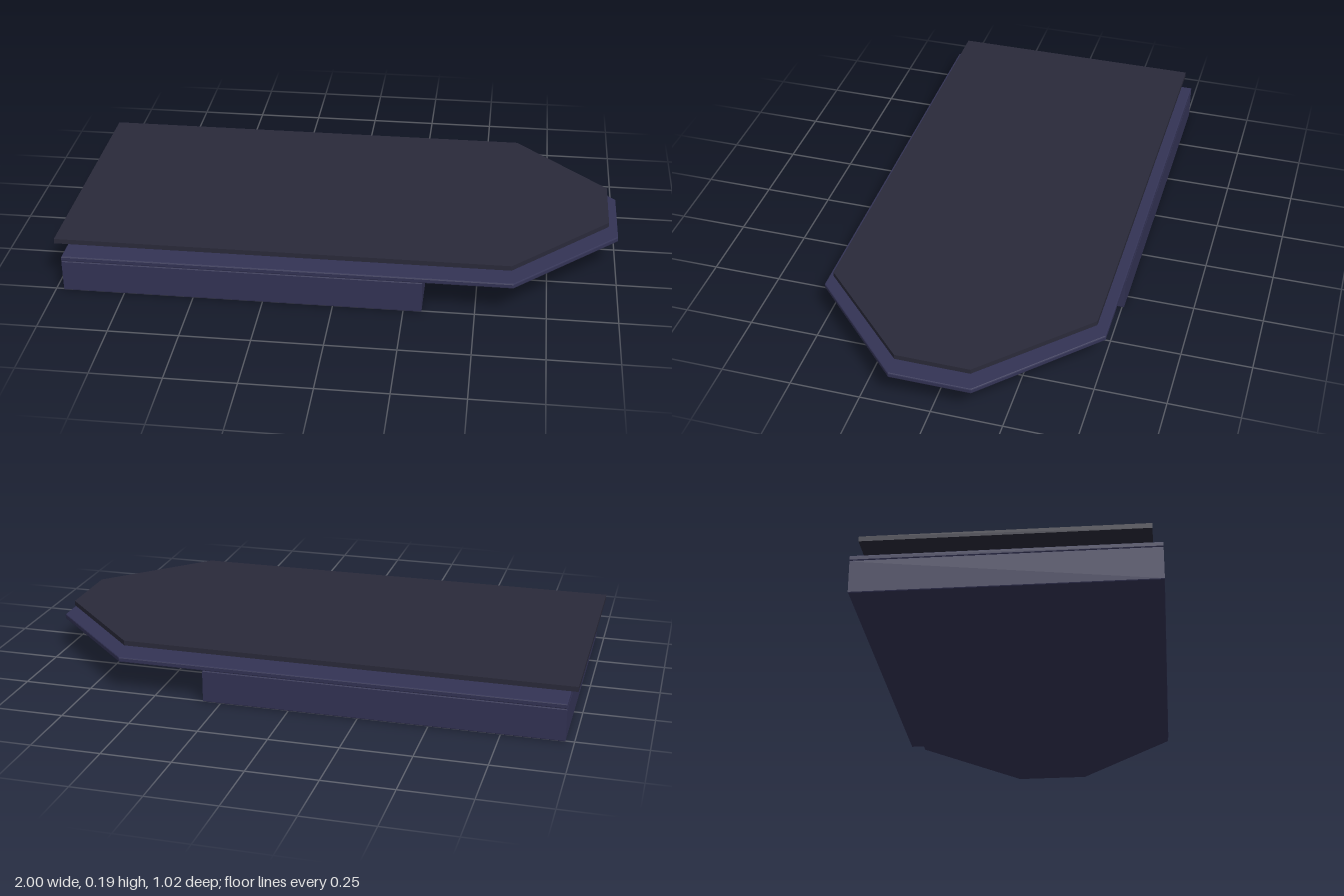
import * as THREE from 'three';

const navy = new THREE.MeshStandardMaterial({ color: 0x333355 });
const charcoal = new THREE.MeshStandardMaterial({ color: 0x2a2a3a });

// Horizontal slab extruded upward from y0 to y1, with an optional small edge bevel.
function slab(name, points, y0, y1, bevel, material) {
  const shape = new THREE.Shape(points.map(([x, z]) => new THREE.Vector2(x, z)));
  const geometry = new THREE.ExtrudeGeometry(shape, {
    depth: y1 - y0 - 2 * bevel,
    bevelEnabled: bevel > 0,
    bevelThickness: bevel,
    bevelSize: bevel,
    bevelOffset: -bevel,
    bevelSegments: 2,
  });
  geometry.rotateX(-Math.PI / 2).translate(0, y0 + bevel, 0);
  const mesh = new THREE.Mesh(geometry, material);
  mesh.name = name;
  return mesh;
}

// Rectangle whose two +x corners are cut diagonally.
function cutOutline(back, shoulder, tip, halfWidth, halfTip) {
  return [
    [back, -halfWidth], [shoulder, -halfWidth], [tip, -halfTip],
    [tip, halfTip], [shoulder, halfWidth], [back, halfWidth],
  ];
}

export function createModel() {
  const group = new THREE.Group();
  group.name = 'layeredPlatform';

  // Solid rectangular block under the rear part
  const block = [[-0.97, -0.508], [0.315, -0.508], [0.315, 0.508], [-0.97, 0.508]];
  group.add(slab('baseBlock', block, 0, 0.12, 0.004, navy));

  // Pointed deck resting on the block and overhanging it
  group.add(slab('deck', cutOutline(-0.97, 0.63, 1.0, 0.508, 0.143), 0.119, 0.138, 0.004, navy));

  // Thin cover floating above the deck
  group.add(slab('topPanel', cutOutline(-1.0, 0.62, 0.963, 0.475, 0.131), 0.172, 0.19, 0, charcoal));

  return group;
}
